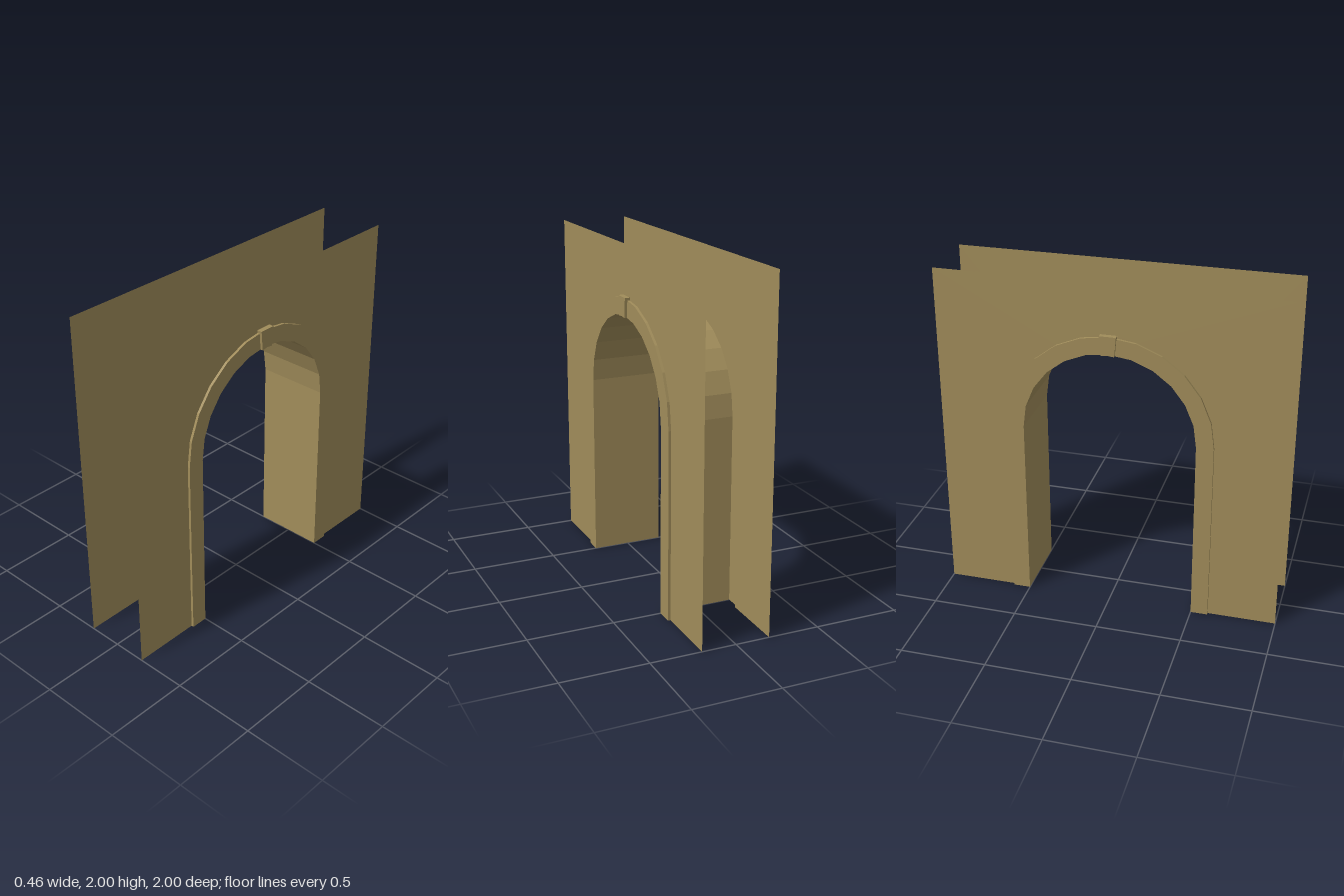
import * as THREE from 'three';

const stone = new THREE.MeshStandardMaterial({ color: 0xa08c5a, side: THREE.DoubleSide });
stone.name = 'sandstone';

const HALF = 0.2;      // half the wall spacing
const TRIM = 0.215;    // face of the arch trim
const KEY = 0.23;      // face of the keystone
const SPRING = 1.1;    // height where the arch begins

const mirror = (pts) => pts.map(([z, y]) => [-z, y]).reverse();

// half of an arch outline, from the ground up to the given number of 15 degree steps
function halfArch(r, steps) {
  const pts = [[r, 0]];
  for (let i = 0; i <= steps; i++) {
    const a = (i * Math.PI) / 12;
    pts.push([r * Math.cos(a), SPRING + r * Math.sin(a)]);
  }
  return pts;
}

// flat plate from a (z, y) outline, facing +x
function plate(name, pts, x) {
  const shape = new THREE.Shape(pts.map(([z, y]) => new THREE.Vector2(-z, y)));
  const geo = new THREE.ShapeGeometry(shape).rotateY(Math.PI / 2).translate(x, 0, 0);
  const mesh = new THREE.Mesh(geo, stone);
  mesh.name = name;
  return mesh;
}

// faceted band that follows a (z, y) path from x0 to x1
function band(name, pts, x0, x1) {
  const pos = [];
  for (let i = 0; i < pts.length - 1; i++) {
    const [z, y] = pts[i];
    const [w, v] = pts[i + 1];
    pos.push(x0, y, z, x0, v, w, x1, v, w, x0, y, z, x1, v, w, x1, y, z);
  }
  const geo = new THREE.BufferGeometry();
  geo.setAttribute('position', new THREE.Float32BufferAttribute(pos, 3));
  geo.computeVertexNormals();
  const mesh = new THREE.Mesh(geo, stone);
  mesh.name = name;
  return mesh;
}

function createSide() {
  const side = new THREE.Group();
  const outer = [...halfArch(0.6, 5), [0.047, 1.694]];
  const inner = [...halfArch(0.5, 5), [0.038, 1.595]];
  const key = [[0.038, 1.595], [0.048, 1.71], [-0.048, 1.71], [-0.038, 1.595], [0, 1.6]];

  // wall with an opening that follows the trim and keystone
  const opening = [...outer, key[1], key[2], ...mirror(outer)];
  side.add(plate('wall', [[1, 0], [1, 2], [-1, 2], [-1, 0], ...opening.slice().reverse()], HALF));

  // raised trim, one half on each side of the keystone
  for (const flip of [false, true]) {
    const o = flip ? mirror(outer) : outer;
    const n = flip ? mirror(inner) : inner;
    side.add(plate('archTrimFace', [...o, ...n.slice().reverse()], TRIM));
    side.add(band('archTrimOuterEdge', o, HALF, TRIM));
    side.add(band('archTrimInnerEdge', n, HALF, TRIM));
  }

  // keystone
  side.add(plate('keystoneFace', key, KEY));
  side.add(band('keystoneEdge', [...key, key[0]], HALF, KEY));
  return side;
}

export function createModel() {
  const model = new THREE.Group();
  model.name = 'archway';

  // tunnel lining between the walls
  const half = halfArch(0.5, 6);
  model.add(band('tunnelLining', [...half, ...mirror(half).slice(1)], -HALF, HALF));

  const left = createSide();
  left.name = 'leftFacade';
  const right = createSide();
  right.name = 'rightFacade';
  right.rotation.y = Math.PI;
  model.add(left, right);
  return model;
}
